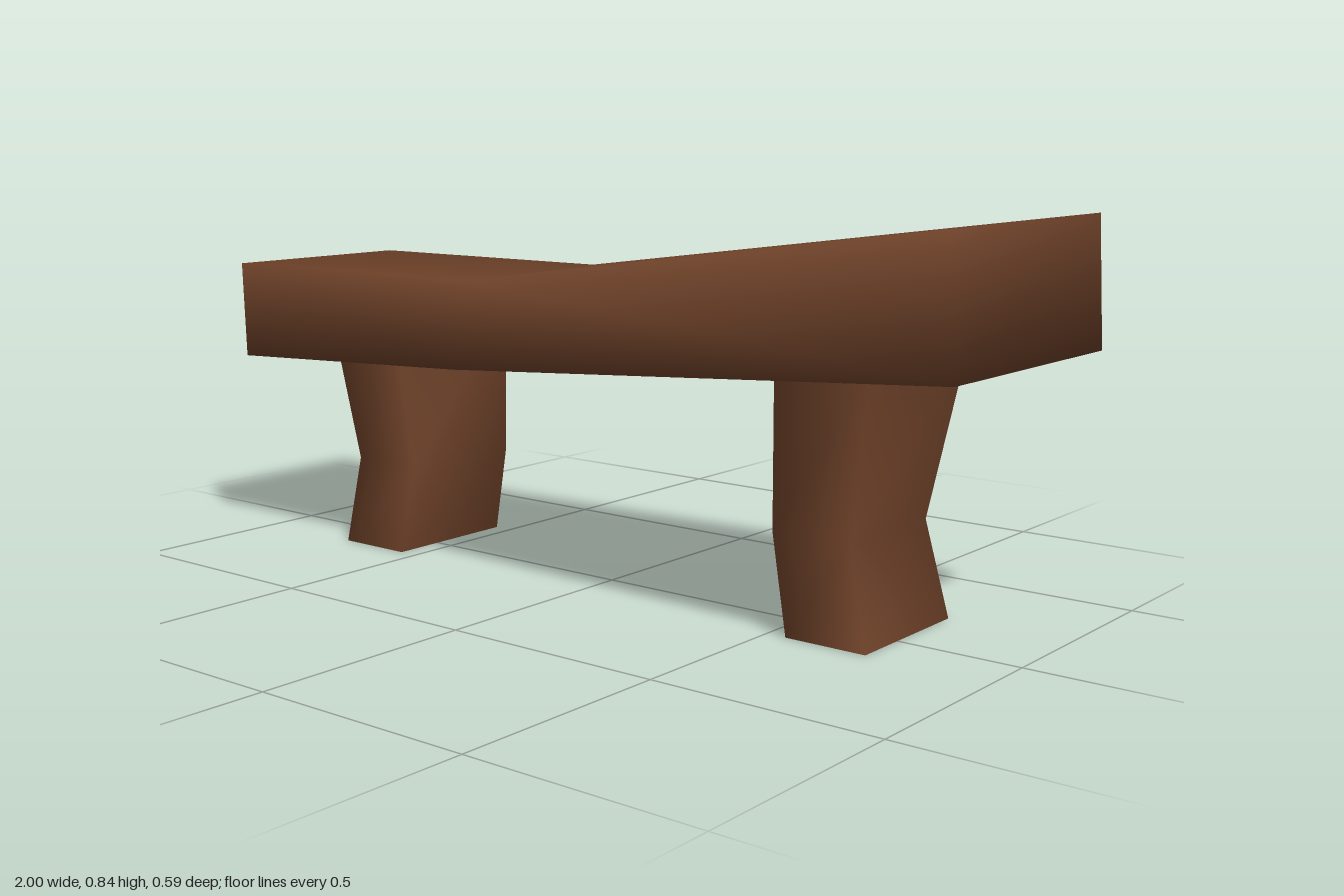
import * as THREE from 'three';

// Skin a row of four-cornered sections; corners run anticlockwise seen from the last section.
function loft(sections, capEnds) {
  const points = sections.flat();
  const index = [];
  for (let s = 0; s < sections.length - 1; s++) {
    for (let k = 0; k < 4; k++) {
      const a = s * 4 + k, b = s * 4 + (k + 1) % 4;
      index.push(a, b, b + 4, a, b + 4, a + 4);
    }
  }
  if (capEnds) {
    const e = points.length - 4;
    index.push(0, 2, 1, 0, 3, 2, e, e + 1, e + 2, e, e + 2, e + 3);
  }
  const geo = new THREE.BufferGeometry();
  geo.setAttribute('position', new THREE.Float32BufferAttribute(points.flat(), 3));
  geo.setIndex(index);
  geo.computeVertexNormals();
  return geo;
}

function quad(points) {
  const geo = new THREE.BufferGeometry();
  geo.setAttribute('position', new THREE.Float32BufferAttribute(points.flat(), 3));
  geo.setIndex([0, 1, 2, 0, 2, 3]);
  geo.computeVertexNormals();
  return geo;
}

export function createModel() {
  const wood = new THREE.MeshStandardMaterial({ color: 0x70432a });
  wood.name = 'brown wood';
  const dark = new THREE.MeshStandardMaterial({ color: 0x2e2828 });
  dark.name = 'dark underside';

  const group = new THREE.Group();
  group.name = 'bench';
  const add = (geo, mat, name, parent) => {
    const mesh = new THREE.Mesh(geo, mat);
    mesh.name = name;
    parent.add(mesh);
  };

  // Warped seat plank: bottom front, bottom back, top back, top front
  add(loft([
    [[-0.99, 0.44, 0.2], [-0.99, 0.44, -0.29], [-1, 0.665, -0.295], [-1, 0.665, 0.2]],
    [[-0.28, 0.472, 0.208], [-0.28, 0.438, -0.235], [-0.28, 0.67, -0.27], [-0.28, 0.665, 0.17]],
    [[1, 0.573, 0.297], [1, 0.573, -0.295], [0.985, 0.842, -0.295], [0.985, 0.842, 0.297]],
  ], true), wood, 'seat', group);

  // Mirrored pinched legs: height, inner x, outer x, front z, inner back z, outer back z
  const levels = [
    [0, 0.545, 0.73, 0.121, -0.21, -0.205],
    [0.21, 0.505, 0.687, 0.113, -0.204, -0.176],
    [0.55, 0.527, 0.74, 0.148, -0.232, -0.228],
  ];
  for (const side of [1, -1]) {
    const leg = new THREE.Group();
    leg.name = side > 0 ? 'leftLeg' : 'rightLeg';
    const rings = levels.map(([y, xi, xo, zf, zi, zo]) => {
      const ring = [[side * xi, y, zf], [side * xo, y, zf], [side * xo, y, zo], [side * xi, y, zi]];
      return side > 0 ? ring : ring.reverse();
    });
    add(loft(rings, false), wood, 'legSides', leg);
    add(quad(rings[2]), wood, 'legTop', leg);
    add(quad([...rings[0]].reverse()), dark, 'legFoot', leg);
    group.add(leg);
  }
  return group;
}
